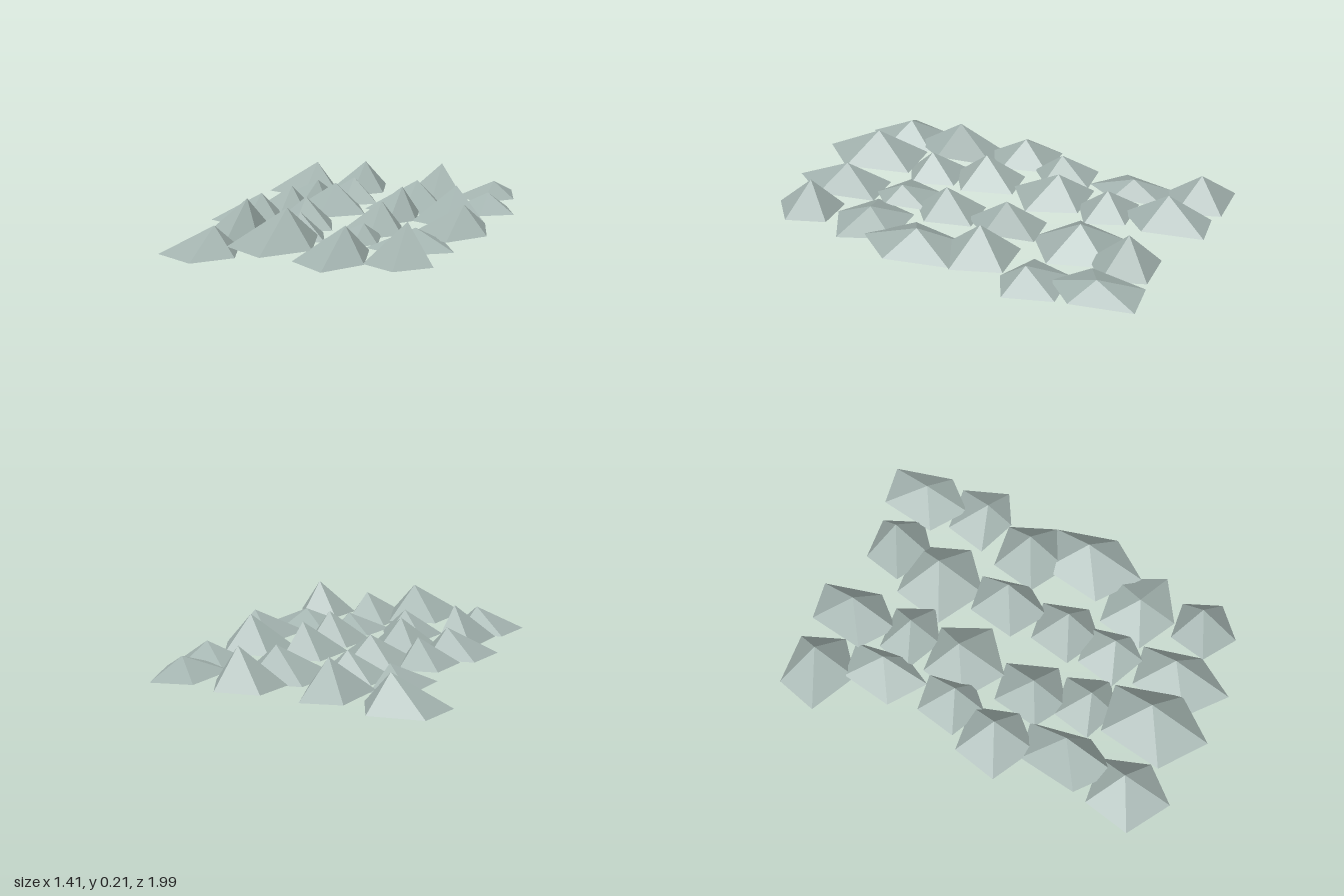
import * as THREE from 'three';

export function createModel() {
  const group = new THREE.Group();
  group.name = 'scaleField';
  const sage = new THREE.MeshStandardMaterial({ color: 0xa3b3af, side: THREE.DoubleSide });
  sage.name = 'sageGrey';
  sage.flatShading = true;

  // One open, five-sided scale: peak at (x, peak, z), reaching out
  // left / right / back / front from the peak at the height of its rim.
  function scale(x, z, left, right, back, front, rim, peak) {
    const ring = [
      [-0.77 * left, -0.84 * back],
      [0.43 * right, -back],
      [right, 0.35 * front],
      [-0.04 * left, front],
      [-left, 0.47 * front],
    ];
    const pos = [];
    ring.forEach((a, i) => {
      const b = ring[(i + 1) % ring.length];
      pos.push(0, peak, 0, b[0], rim, b[1], a[0], rim, a[1]);
    });
    const geo = new THREE.BufferGeometry();
    geo.setAttribute('position', new THREE.Float32BufferAttribute(pos, 3));
    geo.computeVertexNormals();
    const mesh = new THREE.Mesh(geo, sage);
    mesh.name = 'scale';
    mesh.position.set(x, 0, z);
    group.add(mesh);
  }

  // back row
  scale(-0.47, -0.85, 0.24, 0.14, 0.13, 0.20, 0.01, 0.165);
  scale(-0.18, -0.80, 0.17, 0.12, 0.20, 0.22, 0.04, 0.19);
  scale(0.24, -0.79, 0.19, 0.14, 0.12, 0.19, 0.02, 0.20);
  scale(0.52, -0.77, 0.18, 0.12, 0.20, 0.22, 0.05, 0.125);
  // second row
  scale(-0.36, -0.55, 0.18, 0.07, 0.17, 0.23, 0.03, 0.12);
  scale(-0.15, -0.51, 0.19, 0.14, 0.12, 0.15, 0.03, 0.15);
  scale(0.18, -0.53, 0.24, 0.17, 0.17, 0.24, 0.01, 0.15);
  scale(0.56, -0.455, 0.20, 0.14, 0.17, 0.13, 0.025, 0.12);
  // third row
  scale(-0.36, -0.17, 0.18, 0.09, 0.16, 0.15, 0.03, 0.15);
  scale(-0.16, -0.25, 0.20, 0.18, 0.14, 0.24, 0.03, 0.163);
  scale(0.205, -0.17, 0.185, 0.09, 0.16, 0.21, 0.03, 0.177);
  scale(0.468, -0.18, 0.19, 0.16, 0.15, 0.20, 0.03, 0.195);
  // fourth row
  scale(-0.425, 0.065, 0.22, 0.12, 0.145, 0.21, 0.025, 0.15);
  scale(-0.17, 0.145, 0.16, 0.15, 0.175, 0.175, 0.02, 0.16);
  scale(0.20, 0.15, 0.18, 0.115, 0.155, 0.17, 0.02, 0.163);
  scale(0.57, 0.085, 0.21, 0.13, 0.19, 0.29, 0.037, 0.155);
  // fifth row
  scale(-0.36, 0.40, 0.175, 0.09, 0.20, 0.26, 0.015, 0.185);
  scale(-0.10, 0.41, 0.175, 0.13, 0.15, 0.13, 0.02, 0.14);
  scale(0.195, 0.40, 0.19, 0.08, 0.15, 0.15, 0.025, 0.105);
  scale(0.437, 0.42, 0.20, 0.19, 0.165, 0.19, 0.02, 0.105);
  // front row
  scale(-0.385, 0.71, 0.215, 0.13, 0.14, 0.24, 0, 0.118);
  scale(-0.055, 0.69, 0.22, 0.15, 0.205, 0.30, 0.057, 0.212);
  scale(0.21, 0.70, 0.19, 0.115, 0.175, 0.29, 0.015, 0.153);
  scale(0.485, 0.715, 0.165, 0.13, 0.11, 0.195, 0.02, 0.19);

  return group;
}
